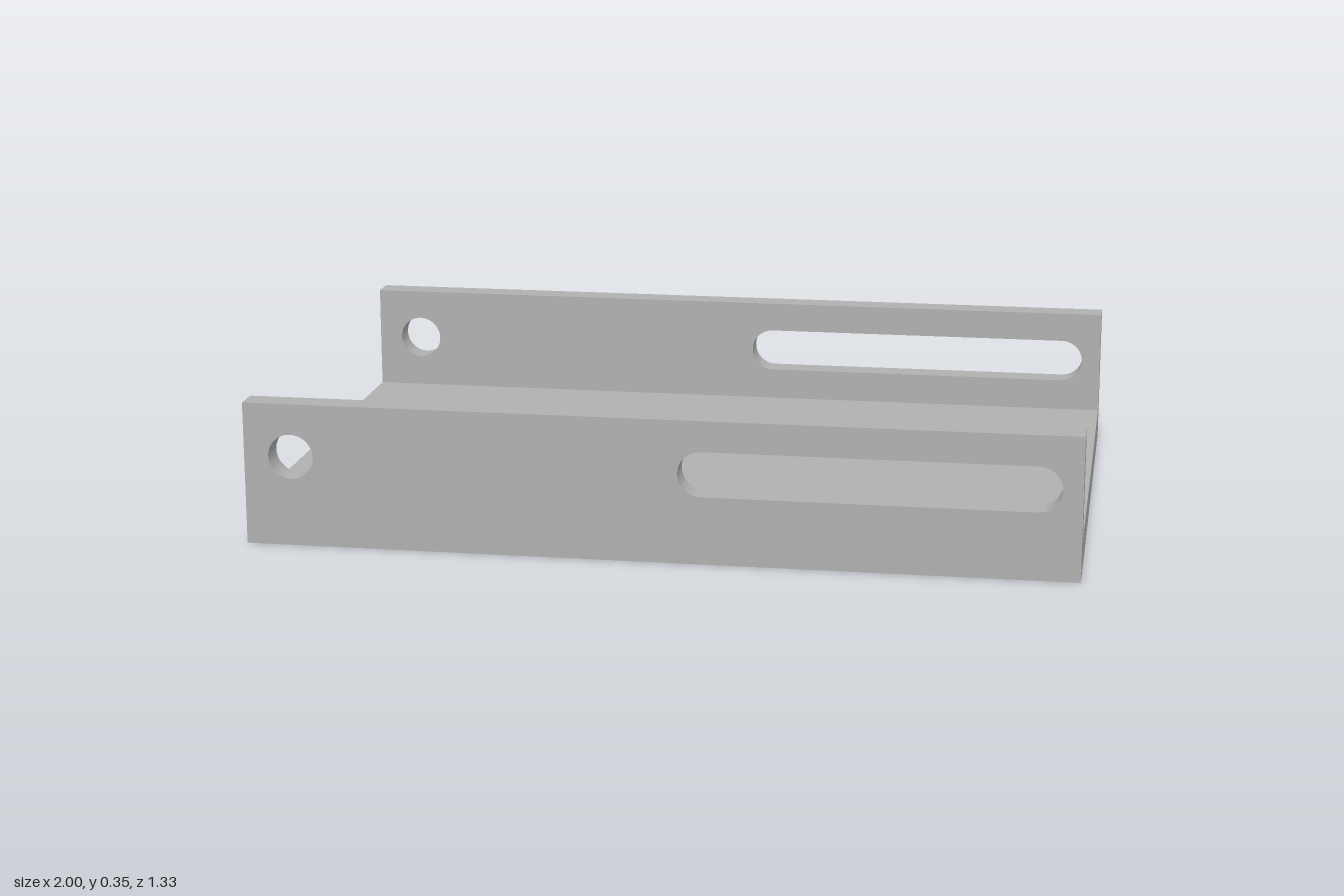
import * as THREE from 'three';
import { toCreasedNormals } from 'three/addons/utils/BufferGeometryUtils.js';

const LENGTH = 2, HEIGHT = 0.35, HALF_DEPTH = 0.667, WALL = 0.067, FLOOR = 0.085;
const HOLE_Y = 0.22, HOLE_R = 0.055;

// Rounded slot between two arc centres; equal centres give a round hole
function slot(x0, x1) {
  const path = new THREE.Path();
  path.absarc(x1, HOLE_Y, HOLE_R, -Math.PI / 2, Math.PI / 2, false);
  path.absarc(x0, HOLE_Y, HOLE_R, Math.PI / 2, Math.PI * 1.5, false);
  path.closePath();
  return path;
}

export function createModel() {
  const model = new THREE.Group();
  model.name = 'channelBracket';
  const metal = new THREE.MeshStandardMaterial({ color: 0xb0b0b0 });
  metal.name = 'grey metal';

  // Floor plate between the two walls
  const floor = new THREE.Mesh(
    new THREE.BoxGeometry(LENGTH, FLOOR, 2 * (HALF_DEPTH - WALL)), metal);
  floor.name = 'floorPlate';
  floor.position.y = FLOOR / 2;
  model.add(floor);

  // Side wall with a round hole and a long slot
  const outline = new THREE.Shape();
  outline.moveTo(-LENGTH / 2, 0);
  outline.lineTo(LENGTH / 2, 0);
  outline.lineTo(LENGTH / 2, HEIGHT);
  outline.lineTo(-LENGTH / 2, HEIGHT);
  outline.closePath();
  outline.holes.push(slot(-0.885, -0.885), slot(0.108, 0.897));
  const wallGeometry = toCreasedNormals(
    new THREE.ExtrudeGeometry(outline, { depth: WALL, bevelEnabled: false, curveSegments: 20 }),
    Math.PI / 6);

  // Same wall at the front and the back
  for (const [name, z] of [['frontWall', HALF_DEPTH - WALL], ['backWall', -HALF_DEPTH]]) {
    const wall = new THREE.Mesh(wallGeometry, metal);
    wall.name = name;
    wall.position.z = z;
    model.add(wall);
  }
  return model;
}
